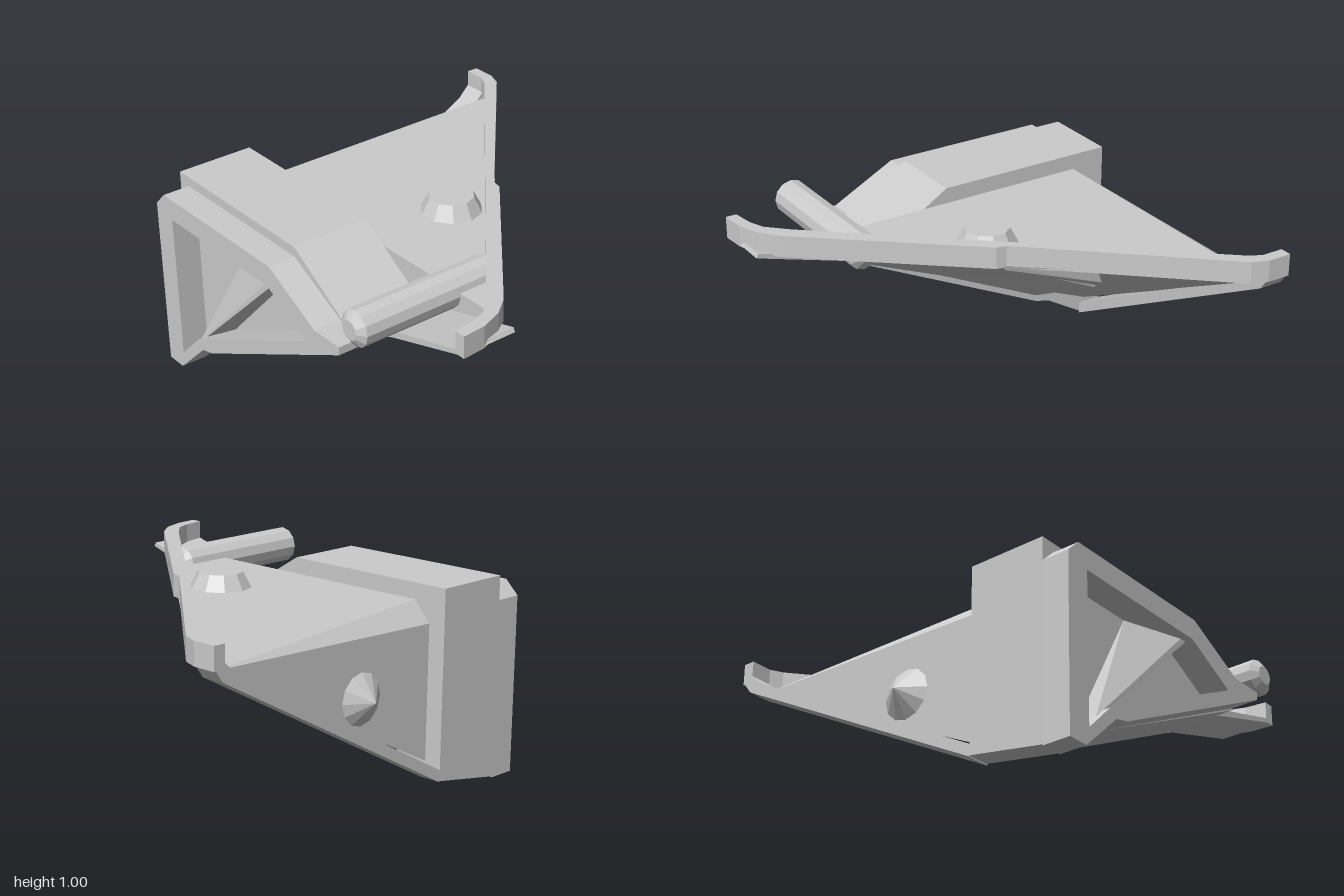
import * as THREE from 'three';
import { ConvexGeometry } from 'three/addons/geometries/ConvexGeometry.js';

const material = new THREE.MeshStandardMaterial({ color: 0xcccccc, flatShading: true, side: THREE.DoubleSide });

// height of the sloping underside at a given x, z
const under = (x, z) => 0.85 + 0.533 * (x - 1) + 0.48 * (z + 1);

const toShape = (pts, sx = 1, sy = 1) => new THREE.Shape(pts.map(([a, b]) => new THREE.Vector2(a * sx, b * sy)));

// [x, z] outline raised from y0 to y1
function planExtrude(pts, y0, y1) {
  return new THREE.ExtrudeGeometry(toShape(pts, 1, -1), { depth: y1 - y0, bevelEnabled: false })
    .rotateX(-Math.PI / 2).translate(0, y0, 0);
}

// [z, y] outline run from x0 to x1, with an optional hole
function sideExtrude(pts, x0, x1, hole) {
  const shape = toShape(pts, -1, 1);
  if (hole) shape.holes.push(toShape(hole, -1, 1));
  return new THREE.ExtrudeGeometry(shape, { depth: x1 - x0, bevelEnabled: false })
    .rotateY(Math.PI / 2).translate(x0, 0, 0);
}

const convex = (pts) => new ConvexGeometry(pts.map((p) => new THREE.Vector3(...p)));

export function createModel() {
  const model = new THREE.Group();
  const add = (name, geometry) => {
    const mesh = new THREE.Mesh(geometry, material);
    mesh.name = name;
    model.add(mesh);
    return mesh;
  };

  // wedge body with flat deck, bevelled back edge and recessed underside
  add('wedgeBody', convex([
    [-0.46, 0.92, -0.82], [0.93, 0.92, -0.82], [-0.46, 0.92, 0.82],
    [-0.46, 0.82, -0.91], [0.93, 0.86, -0.91],
    [-0.46, under(-0.46, -0.91) + 0.04, -0.91], [0.9, 0.84, -0.91],
    [-0.46, 0.88, 0.8], [0.91, 0.88, -0.8],
  ]));

  // beam along the side, sloping down at its front
  const beam = sideExtrude([
    [-1, 1], [-0.06, 1], [0.36, 0.74], [0.45, 0.77], [0.45, 0.73],
    [-0.6, 0.22], [-0.68, 0.2], [-0.89, 0.005], [-1, 0.005],
  ], -0.86, -0.46);
  const pos = beam.attributes.position;
  for (let i = 0; i < pos.count; i++) {
    if (pos.getX(i) > -0.5 && pos.getY(i) < 0.1) pos.setY(i, 0.075);
  }
  beam.computeVertexNormals();
  add('sideBeam', beam);

  // outer side frame with its window and slanting web
  add('sideFrame', sideExtrude([
    [-1, 0.88], [-0.93, 0.95], [-0.06, 0.95], [0.27, 0.78], [0.45, 0.78], [0.45, 0.74],
    [-0.6, 0.22], [-0.68, 0.2], [-0.89, 0], [-1, 0],
  ], -1, -0.86, [
    [-0.87, 0.84], [-0.08, 0.84], [0.2, 0.69], [-0.6, 0.3], [-0.72, 0.24], [-0.87, 0.09],
  ]));
  add('frameWeb', convex([
    [-0.86, 0.84, -0.42], [-0.86, 0.17, -0.78], [-0.86, 0.84, -0.08], [-0.86, 0.3, -0.6],
    [-0.96, 0.84, -0.12], [-0.96, 0.19, -0.77], [-0.96, 0.84, -0.08], [-0.96, 0.25, -0.7],
  ]));

  // tongue under the pin
  add('frontTongue', sideExtrude([
    [0.36, 0.74], [0.5, 0.79], [0.97, 0.92], [0.98, 0.9], [0.5, 0.755], [0.36, 0.69],
  ], -0.75, -0.46));

  // raised rim round the long edge
  add('rim', planExtrude([
    [-0.75, 0.99], [-0.63, 0.98], [-0.52, 0.94], [-0.43, 0.87], [0.22, 0.09], [0.23, 0.04],
    [0.97, -0.8], [1, -0.88], [1, -1], [0.94, -1], [0.94, -0.89], [0.91, -0.83],
    [0.2, 0.01], [-0.46, 0.79], [-0.56, 0.89], [-0.64, 0.92], [-0.75, 0.935],
  ], 0.89, 1));

  // small lip below the rim beside its joint
  add('rimLip', convex([
    [0.22, 0.9, 0.06], [0.22, 0.87, 0.04], [0.5, 0.9, -0.27], [0.5, 0.83, -0.31],
    [0.47, 0.83, -0.32], [0.2, 0.9, 0], [0.44, 0.9, -0.32],
  ]));

  // raised panel on the underside
  const panel = [[-0.5, -0.6], [0.05, -0.6], [0.05, -0.36], [0, -0.23], [-0.5, 0.32]];
  add('lowerPanel', convex([
    ...panel.map(([x, z]) => [x, under(x, z) - 0.01, z]),
    ...panel.map(([x, z]) => [x + (x > -0.4 ? 0.03 : 0), under(x, z) + 0.12, z < -0.5 ? -0.68 : z + 0.02]),
  ]));

  // flange along the lower back edge
  const flange = toShape([[-0.46, 0.07], [0.95, 0.835], [0.99, 0.89], [0.95, 0.93], [0.88, 0.86], [-0.46, 0.13]]);
  add('backFlange', new THREE.ExtrudeGeometry(flange, { depth: 0.12, bevelEnabled: false }).translate(0, 0, -1));

  // pointed stud on the back wall
  const stud = add('backStud', new THREE.ConeGeometry(0.13, 0.09, 12).rotateX(-Math.PI / 2));
  stud.position.set(0, 0.55, -0.953);

  // tapered boss on the deck
  const boss = add('deckBoss', new THREE.CylinderGeometry(0.11, 0.152, 0.08, 10));
  boss.position.set(0, 0.955, 0);

  // cross pin with tapered ends
  const profile = [[0, -0.4], [0.048, -0.4], [0.09, -0.37], [0.09, 0.36], [0.035, 0.4], [0, 0.4]];
  const pin = add('crossPin', new THREE.LatheGeometry(profile.map(([r, y]) => new THREE.Vector2(r, y)), 12)
    .rotateZ(-Math.PI / 2));
  pin.position.set(-0.6, 0.905, 0.53);

  return model;
}
